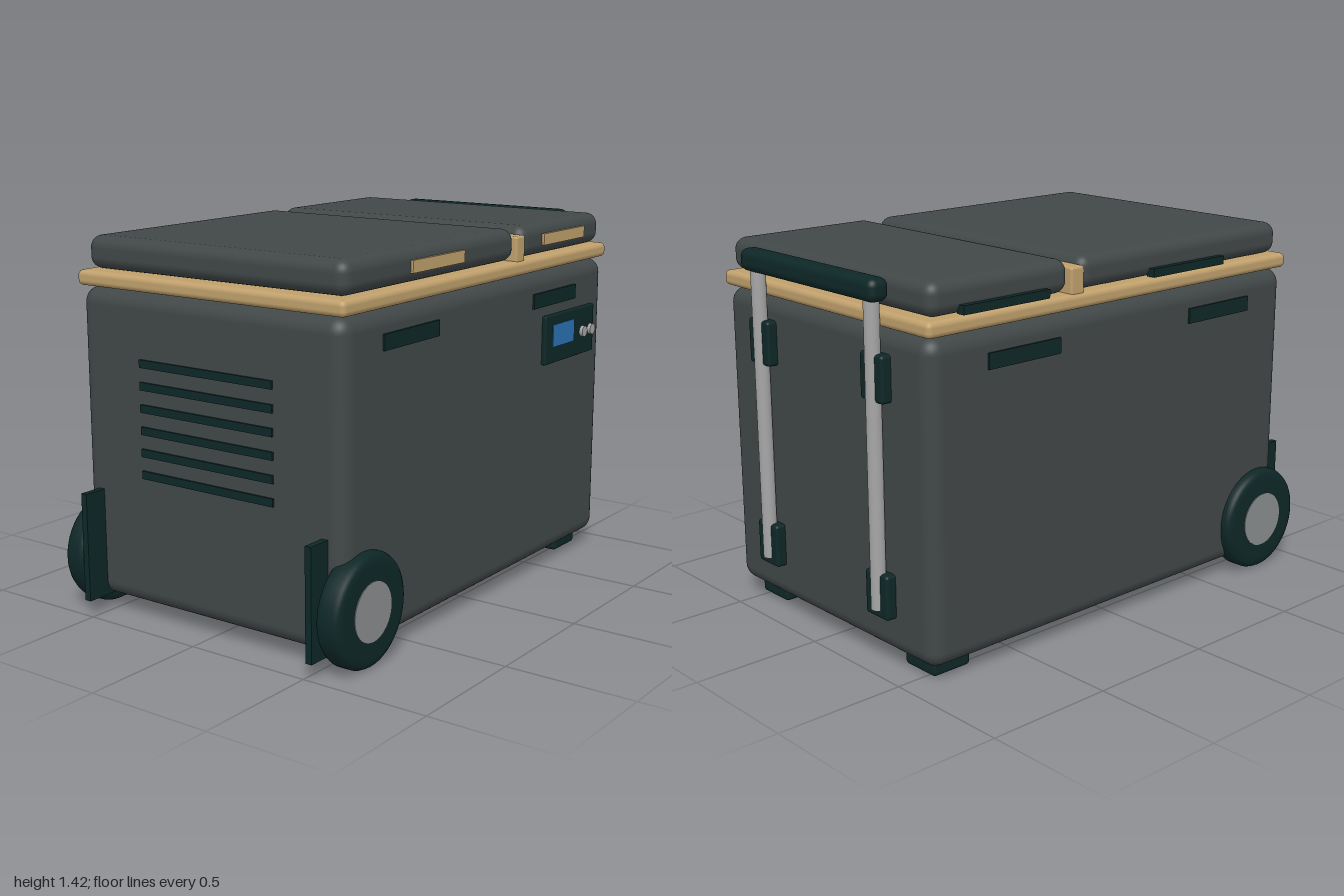
import * as THREE from 'three';
import { RoundedBoxGeometry } from 'three/addons/geometries/RoundedBoxGeometry.js';

const mat = (name, color) => {
  const m = new THREE.MeshStandardMaterial({ color });
  m.name = name;
  return m;
};

export function createModel() {
  const shell = mat('charcoal shell', 0x414747);
  const dark = mat('dark green-black', 0x0e2727);
  const tan = mat('tan trim', 0xc0a06c);
  const silver = mat('silver tube', 0xa6a6a6);
  const hubGrey = mat('hub grey', 0x8a8d8f);
  const blue = mat('screen blue', 0x2a72b5);

  const root = new THREE.Group();
  root.name = 'portableCooler';

  const add = (name, geo, material, x = 0, y = 0, z = 0) => {
    const m = new THREE.Mesh(geo, material);
    m.name = name;
    m.position.set(x, y, z);
    root.add(m);
    return m;
  };
  // Box given by its extents on each axis; r > 0 rounds the edges
  const box = (name, material, x, y, z, r = 0) => {
    const [w, h, d] = [x, y, z].map(([a, b]) => b - a);
    const geo = r ? new RoundedBoxGeometry(w, h, d, 4, r) : new THREE.BoxGeometry(w, h, d);
    return add(name, geo, material, ...[x, y, z].map(([a, b]) => (a + b) / 2));
  };
  // Extent pair mirrored when s is -1
  const side = (s, a, b) => (s > 0 ? [a, b] : [-b, -a]);

  // Body, rim and the two lids with their divider
  box('body', shell, [-0.905, 0.925], [0.06, 1.24], [-0.602, 0.602], 0.06);
  box('rim', tan, [-0.91, 0.93], [1.243, 1.3], [-0.608, 0.608], 0.02);
  box('lidDivider', tan, [0.21, 0.275], [1.29, 1.395], [-0.597, 0.597], 0.01);
  box('largeLid', shell, [-0.875, 0.218], [1.302, 1.425], [-0.588, 0.588], 0.045);
  box('smallLid', shell, [0.272, 0.905], [1.302, 1.425], [-0.588, 0.588], 0.045);

  // Front latches and rear hinges
  for (const [a, b] of [[-0.495, -0.16], [0.42, 0.75]]) {
    box('latch', tan, [a, b], [1.34, 1.385], [0.575, 0.598]);
  }
  for (const [a, b] of [[-0.525, -0.135], [0.39, 0.78]]) {
    box('hinge', dark, [a, b], [1.305, 1.337], [-0.61, -0.575]);
  }

  // Grip plates on the front and back
  for (const s of [1, -1]) {
    for (const [a, b] of [[-0.68, -0.34], [0.335, 0.67]]) {
      box('gripPlate', dark, [a, b], [1.1, 1.158], side(s, 0.59, 0.61));
    }
  }

  // Control panel with screen and knobs
  box('controlPanel', dark, [0.415, 0.815], [0.865, 1.06], [0.59, 0.62], 0.006);
  box('screen', blue, [0.47, 0.645], [0.93, 1.02], [0.617, 0.623]);
  for (const x of [0.715, 0.783]) {
    const knob = add('knob', new THREE.CylinderGeometry(0.022, 0.022, 0.02, 20), silver, x, 0.96, 0.624);
    knob.rotation.x = Math.PI / 2;
  }

  // Vent slats on the wheel end
  for (let i = 0; i < 6; i++) {
    const y = 0.57 + i * 0.083;
    box('ventSlat', dark, [-0.913, -0.89], [y - 0.015, y + 0.015], [-0.305, 0.305]);
  }

  // Wheels with hubs and their mounting plates
  const tyreProfile = [
    [0, -0.05], [0.17, -0.05], [0.19, -0.047], [0.203, -0.039], [0.21, -0.025],
    [0.21, 0.025], [0.203, 0.039], [0.19, 0.047], [0.17, 0.05], [0, 0.05],
  ].map(([r, y]) => new THREE.Vector2(r, y));
  for (const s of [1, -1]) {
    const wheel = add('wheel', new THREE.LatheGeometry(tyreProfile, 48), dark, -0.79, 0.212, s * 0.592);
    wheel.rotation.x = Math.PI / 2;
    const hub = add('wheelHub', new THREE.CylinderGeometry(0.11, 0.11, 0.106, 40), hubGrey, -0.79, 0.212, s * 0.592);
    hub.rotation.x = Math.PI / 2;
    box('wheelPlate', dark, [-1, -0.87], [0.062, 0.48], side(s, 0.51, 0.536));
    box('foot', dark, [0.7, 0.868], [0.003, 0.062], side(s, 0.37, 0.535), 0.015);
  }

  // Pull handle: two tubes in clamps joined by a padded bar
  for (const s of [1, -1]) {
    add('handleTube', new THREE.CylinderGeometry(0.028, 0.028, 1.13, 24), silver, 0.953, 0.795, s * 0.337);
    for (const [a, b] of [[0.2, 0.367], [0.988, 1.157]]) {
      box('tubeClamp', dark, [0.915, 0.965], [a, b], side(s, 0.275, 0.4), 0.012);
    }
  }
  box('handleGrip', dark, [0.915, 0.998], [1.337, 1.42], [-0.397, 0.397], 0.03);

  return root;
}
